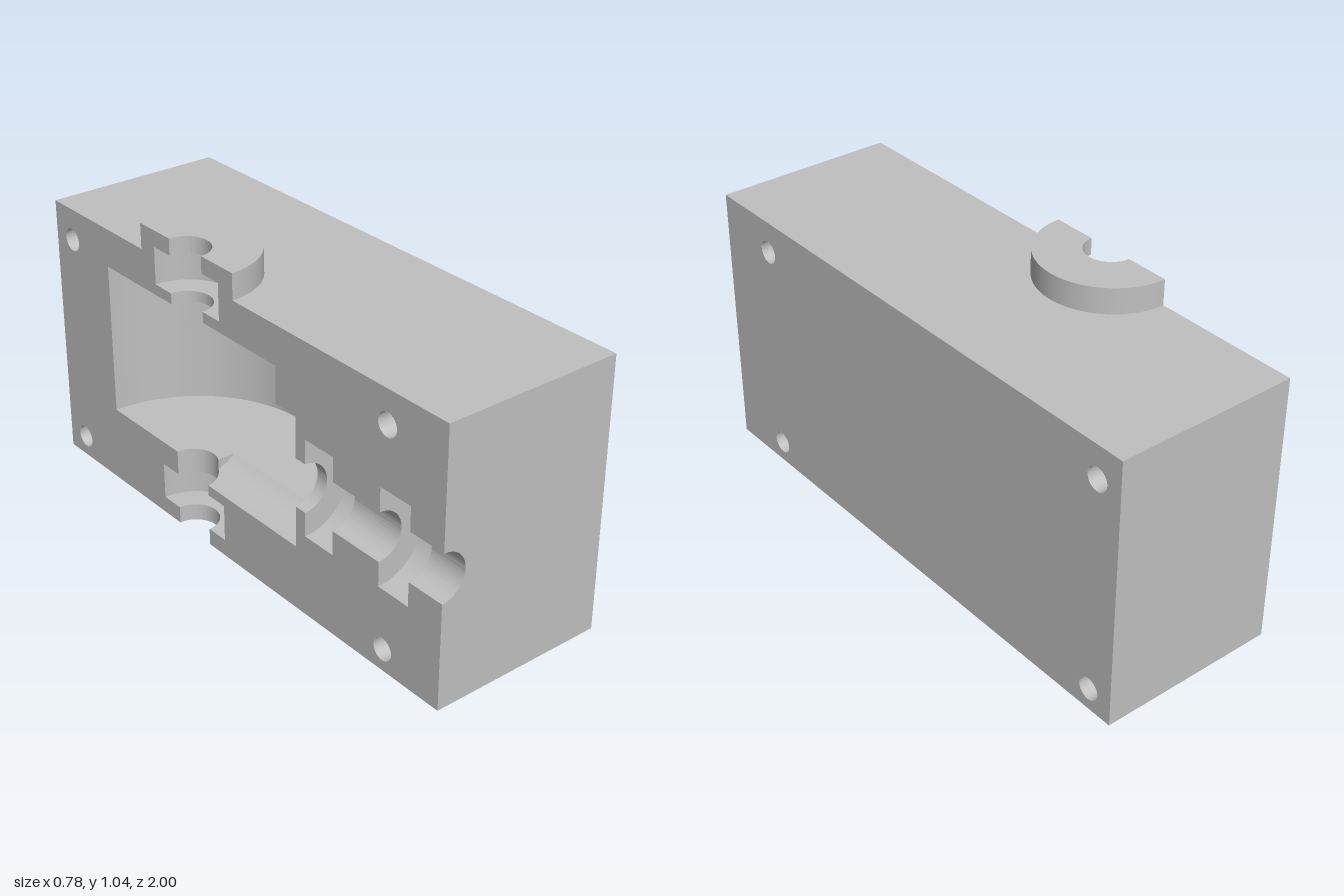
import * as THREE from 'three';
import { toCreasedNormals } from 'three/addons/utils/BufferGeometryUtils.js';

// Half of a split gear housing. Working axes: d = depth behind the split face, y = up, v = along the length.
const W = 0.64, H = 0.953, L = 0.98;        // width, height, half length
const V0 = -0.22, YC = 0.458;               // vertical shaft position, horizontal shaft height
const SH = 0.085, BR = 0.17;                // shaft and bearing radii
const R = 0.45, FLOOR = 0.277, ROOF = 0.817; // upright gear chamber
const G = 0.23, GS = -0.18, GE = 0.325;     // cross gear chamber: radius, start, end
const RING = 0.243, TOP = 1.043;            // boss on top
const SEG = 48;
const FD = Math.sqrt(G * G - (YC - FLOOR) ** 2); // depth where the cross chamber cuts the floor

const housingGrey = new THREE.MeshStandardMaterial({ color: 0xc0c0c0, side: THREE.DoubleSide });
housingGrey.name = 'housingGrey';

const at = (d, y, v) => [d - W / 2, y, v];
const arc = (cx, cy, r, a0, a1, n = SEG) => Array.from({ length: n + 1 }, (_, i) => {
  const a = a0 + (a1 - a0) * i / n;
  return [cx + r * Math.cos(a), cy + r * Math.sin(a)];
});

export function createModel() {
  const model = new THREE.Group();
  model.name = 'gearHousingHalf';
  const body = new THREE.Group();
  body.name = 'housing';
  body.rotation.y = 0.07;
  model.add(body);

  const add = (name, geometry) => {
    const mesh = new THREE.Mesh(geometry, housingGrey);
    mesh.name = name;
    body.add(mesh);
    return mesh;
  };

  // Flat face from a 2D outline, mapped into place and turned toward the given normal
  const plate = (name, outline, map, normal, holes = []) => {
    const shape = new THREE.Shape(outline.map(([a, b]) => new THREE.Vector2(a, b)));
    for (const [a, b] of holes) shape.holes.push(new THREE.Path().absarc(a, b, 0.04, 0, Math.PI * 2));
    const g = new THREE.ShapeGeometry(shape, 24);
    const p = g.attributes.position;
    for (let i = 0; i < p.count; i++) p.setXYZ(i, ...map(p.getX(i), p.getY(i)));
    g.computeVertexNormals();
    const n = new THREE.Vector3().fromBufferAttribute(g.attributes.normal, 0);
    if (n.dot(new THREE.Vector3(...normal)) < 0) {
      g.index.array.reverse();
      g.computeVertexNormals();
    }
    return add(name, g);
  };

  // Ruled wall between two edges, f(t) giving both end points
  const wall = (name, t0, t1, f, n = SEG) => {
    const pos = [], idx = [];
    for (let i = 0; i <= n; i++) {
      const [a, b] = f(t0 + (t1 - t0) * i / n);
      pos.push(...a, ...b);
      const k = 2 * i;
      if (i < n) idx.push(k, k + 1, k + 2, k + 1, k + 3, k + 2);
    }
    const g = new THREE.BufferGeometry();
    g.setAttribute('position', new THREE.Float32BufferAttribute(pos, 3));
    g.setIndex(idx);
    g.computeVertexNormals();
    return add(name, g);
  };

  // Half-round stepped bore from a profile of [radius, position along the axis]
  const bore = (name, profile) => add(name, toCreasedNormals(new THREE.LatheGeometry(
    profile.map(([r, s]) => new THREE.Vector2(r, s)), SEG, 0, Math.PI).toNonIndexed(), 0.6));

  // Bore profiles
  const lower = [[SH, 0], [SH, 0.06], [BR, 0.06], [BR, 0.19], [SH, 0.19]];
  const upper = [[R, ROOF], [SH, ROOF], [SH, 0.855], [BR, 0.855], [BR, 0.985], [SH, 0.985],
    [SH, TOP], [RING, TOP], [RING, H]];
  const cross = [[G, GE], [SH, GE], [SH, 0.37], [BR, 0.37], [BR, 0.5], [SH, 0.5],
    [SH, 0.71], [BR, 0.71], [BR, 0.84], [SH, 0.84], [SH, L]];

  bore('lowerShaftBore', lower).position.set(-W / 2, 0, V0);
  bore('upperShaftBoreAndBoss', upper).position.set(-W / 2, 0, V0);
  const crossBore = bore('crossShaftBore', cross);
  crossBore.geometry.rotateX(Math.PI / 2);
  crossBore.position.set(-W / 2, YC, 0);

  // Split face in three pieces around the bores
  const screws = [[-0.885, 0.84], [-0.885, 0.076], [0.734, 0.84], [0.734, 0.076]];
  const split = (v, y) => at(0, y, v);
  const upright = (profile, s) => profile.map(([r, y]) => [V0 + s * r, y]);
  const along = s => cross.map(([r, v]) => [v, YC + s * r]);
  plate('splitFaceBack', [[-L, 0], ...upright(lower, -1), [V0 - SH, FLOOR], [V0 - R, FLOOR],
    ...upright(upper, -1), [-L, H]], split, [-1, 0, 0], screws.slice(0, 2));
  plate('splitFaceFrontLower', [[L, 0], ...upright(lower, 1), [V0 + SH, YC - G], ...along(-1)],
    split, [-1, 0, 0], [screws[3]]);
  plate('splitFaceFrontUpper', [[L, H], ...upright(upper, 1).reverse(), [V0 + R, YC + G], ...along(1)],
    split, [-1, 0, 0], [screws[2]]);

  // Outer faces
  const rect = (a0, b0, a1, b1) => [[a0, b0], [a1, b0], [a1, b1], [a0, b1]];
  const notched = (len0, len1, c, r) =>
    [[0, len0], ...arc(0, c, r, -Math.PI / 2, Math.PI / 2), [0, len1], [W, len1], [W, len0]];
  plate('outerSide', rect(-L, 0, L, H), (v, y) => at(W, y, v), [1, 0, 0], screws);
  plate('backEnd', rect(0, 0, W, H), (d, y) => at(d, y, -L), [0, 0, -1]);
  plate('frontEnd', notched(0, H, YC, SH), (d, y) => at(d, y, L), [0, 0, 1]);
  plate('topFace', notched(-L, L, V0, RING), (d, v) => at(d, H, v), [0, 1, 0]);
  plate('bottomFace', notched(-L, L, V0, SH), (d, v) => at(d, 0, v), [0, -1, 0]);

  // Screw holes through the full width
  for (const [v, y] of screws) {
    const tube = new THREE.CylinderGeometry(0.04, 0.04, W, 24, 1, true).rotateZ(Math.PI / 2);
    add('screwHole', tube).position.set(0, y, v);
  }

  // Upright chamber wall, opened where the cross chamber meets it
  const chord = (r, x) => Math.sqrt(Math.max(0, r * r - x * x));
  const cutLow = Math.asin(FD / R), cutHigh = Math.asin(G / R);
  const chamber = (y0, y1) => t => {
    const d = R * Math.sin(t), v = V0 + R * Math.cos(t);
    return [at(d, y0(d), v), at(d, y1(d), v)];
  };
  const low = () => FLOOR, high = () => ROOF;
  wall('chamberWall', cutHigh, Math.PI, chamber(low, high));
  wall('chamberWallAboveGear', 0, cutHigh, chamber(d => YC + chord(G, d), high));
  wall('chamberWallBelowGear', cutLow, cutHigh, chamber(low, d => YC - chord(G, d)));

  // Chamber floor with its gear slot and shaft opening
  const slotD = chord(SH, GS - V0), holeAngle = Math.acos((GS - V0) / SH);
  plate('chamberFloor', [...arc(V0, 0, R, Math.PI, cutLow), [GS, FD],
    ...arc(V0, 0, SH, holeAngle, Math.PI, 20)], (v, d) => at(d, FLOOR, v), [0, 1, 0]);

  // Cross gear chamber
  const floorAngle = -Math.asin((YC - FLOOR) / G);
  const gear = start => t => {
    const d = G * Math.cos(t), y = YC + G * Math.sin(t);
    return [at(d, y, start(d)), at(d, y, GE)];
  };
  wall('gearChamberWall', floorAngle, Math.PI / 2, gear(d => V0 + chord(R, d)));
  wall('gearSlotWall', -Math.PI / 2, floorAngle, gear(d => Math.max(GS, V0 + chord(SH, d))));
  plate('gearSlotEnd', [[slotD, FLOOR], ...arc(0, YC, G, floorAngle, -Math.acos(slotD / G), 16)],
    (d, y) => at(d, y, GS), [0, 0, 1]);

  // Short shaft passage between the lower bearing and the chamber
  const passage = top => t => {
    const d = SH * Math.sin(t), v = V0 + SH * Math.cos(t);
    return [at(d, 0.19, v), at(d, top(d), v)];
  };
  wall('shaftPassageFront', 0, holeAngle, passage(d => YC - chord(G, d)), 16);
  wall('shaftPassageBack', holeAngle, Math.PI, passage(low), 24);

  return model;
}
